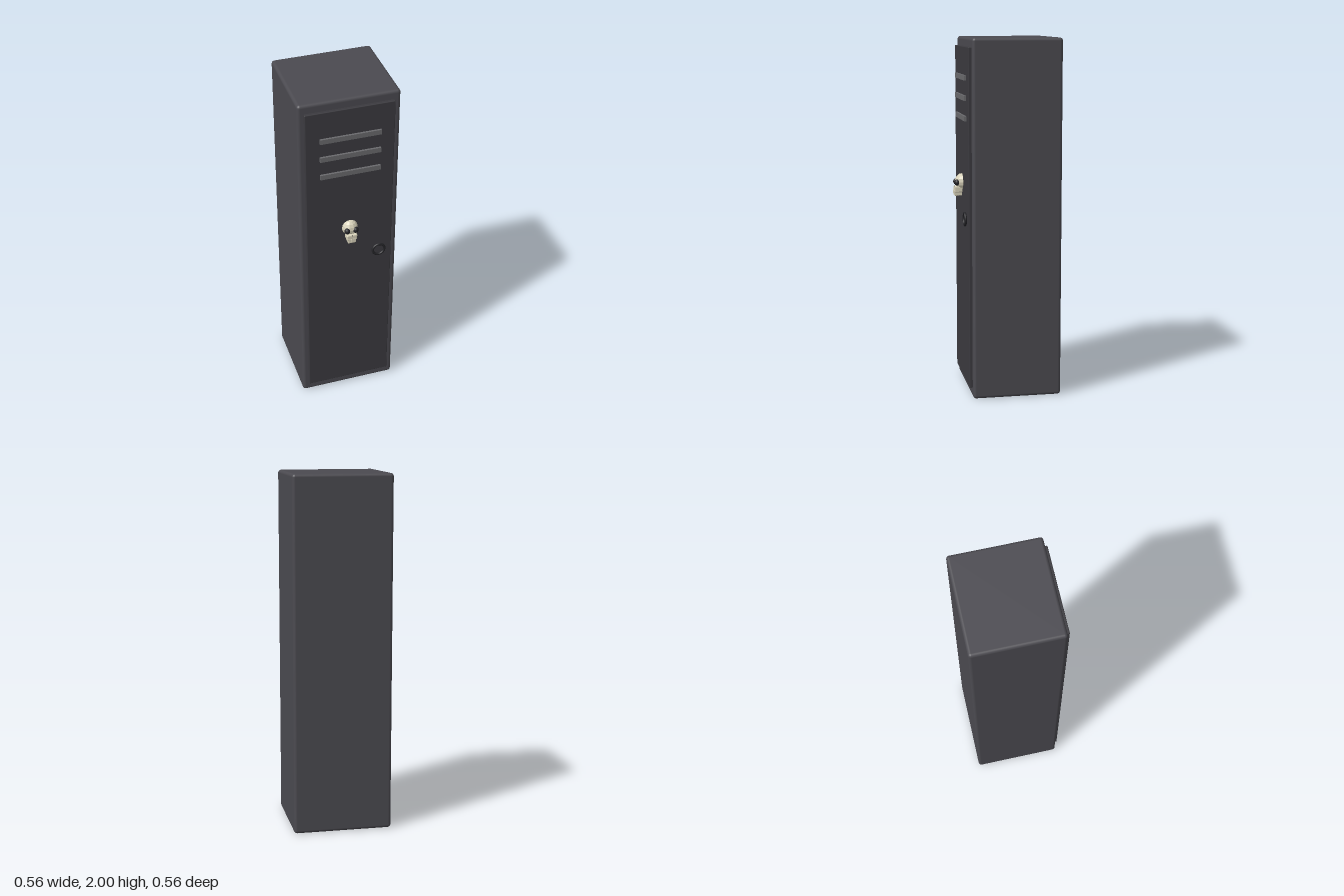
import * as THREE from 'three';
import { RoundedBoxGeometry } from 'three/addons/geometries/RoundedBoxGeometry.js';

const paint = (color) => new THREE.MeshStandardMaterial({ color });
const bodyPaint = paint(0x4b4a50);
const doorPaint = paint(0x3b3a3f);
const slatPaint = paint(0x6a6a6d);
const darkPaint = paint(0x242428);
const bone = paint(0xd8d2ba);
bone.flatShading = true;

function add(parent, name, geometry, material, x, y, z) {
  const mesh = new THREE.Mesh(geometry, material);
  mesh.name = name;
  mesh.position.set(x, y, z);
  parent.add(mesh);
  return mesh;
}

function createSkull() {
  const skull = new THREE.Group();
  skull.name = 'skullOrnament';

  // Faceted cranium, half sunk into the door
  const cranium = add(skull, 'cranium', new THREE.SphereGeometry(1, 10, 8), bone, 0, 0.012, 0);
  cranium.scale.set(0.045, 0.047, 0.04);

  // Face and stepped jaw
  add(skull, 'cheeks', new RoundedBoxGeometry(0.06, 0.034, 0.046, 1, 0.005), bone, 0, -0.03, 0.023);
  add(skull, 'jaw', new RoundedBoxGeometry(0.046, 0.024, 0.044, 1, 0.003), bone, 0, -0.054, 0.024);
  for (let i = -1; i <= 1; i++) {
    add(skull, 'tooth', new THREE.BoxGeometry(0.013, 0.018, 0.006), bone, i * 0.015, -0.046, 0.045);
  }

  // Eye sockets and nose
  for (const side of [-1, 1]) {
    const eye = add(skull, 'eyeSocket', new THREE.SphereGeometry(1, 12, 8), darkPaint, side * 0.024, 0.01, 0.031);
    eye.scale.set(0.016, 0.018, 0.016);
  }
  const nose = add(skull, 'noseHole', new THREE.ConeGeometry(0.006, 0.012, 3), darkPaint, 0, -0.016, 0.044);
  nose.scale.z = 0.5;
  return skull;
}

export function createModel() {
  const locker = new THREE.Group();
  locker.name = 'locker';

  // Cabinet and raised door
  add(locker, 'cabinet', new RoundedBoxGeometry(0.556, 2, 0.498, 3, 0.017), bodyPaint, 0, 1, -0.034);
  add(locker, 'door', new RoundedBoxGeometry(0.488, 1.892, 0.034, 2, 0.004), doorPaint, 0, 1.004, 0.215);

  // Vent slats
  for (let i = 0; i < 3; i++) {
    add(locker, 'ventSlat', new THREE.BoxGeometry(0.335, 0.028, 0.016), slatPaint, 0, 1.782 - i * 0.111, 0.236);
  }

  // Ring handle
  add(locker, 'ringHandle', new THREE.TorusGeometry(0.034, 0.007, 10, 28), darkPaint, 0.167, 1.005, 0.2435);

  const skull = createSkull();
  skull.position.set(0, 1.18, 0.233);
  locker.add(skull);
  return locker;
}
